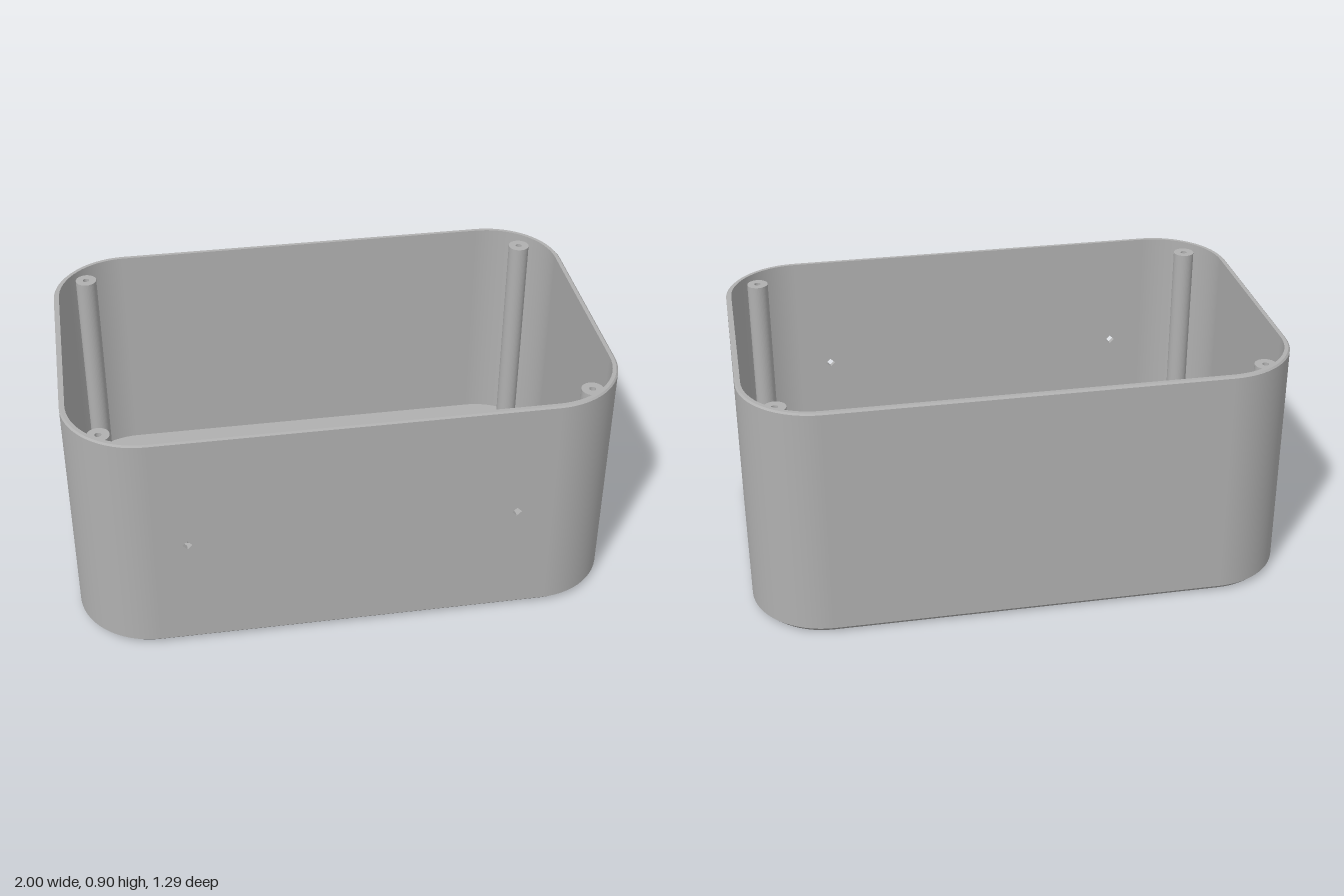
import * as THREE from 'three';

const HALF_X = 1, HALF_Z = 0.643, HEIGHT = 0.9, RADIUS = 0.28;
const WALL = 0.02, FLOOR = 0.03, CHAMFER = 0.02, LIP = 0.006;
const CX = HALF_X - RADIUS, CZ = HALF_Z - RADIUS;

// Plan outline as corner centre + direction, starting and ending beside the front panel
function outline() {
  const steps = 16, pts = [];
  [[-CX, CZ, 1], [-CX, -CZ, 2], [CX, -CZ, 3], [CX, CZ, 4]].forEach(([cx, cz, q]) => {
    for (let i = 0; i <= steps; i++) {
      const a = (q + i / steps) * Math.PI / 2;
      pts.push({ cx, cz, c: Math.cos(a), s: Math.sin(a) });
    }
  });
  return pts;
}

// Strip between two [inset, y] profile points, swept round the outline
function band([in0, y0], [in1, y1], closed = true) {
  const path = outline();
  if (closed) path.push(path[0]);
  const len = Math.hypot(in1 - in0, y1 - y0);
  const nh = (y1 - y0) / len, nv = (in1 - in0) / len;
  const pos = [], nor = [], idx = [];
  path.forEach(({ cx, cz, c, s }, j) => {
    for (const [inset, y] of [[in0, y0], [in1, y1]]) {
      const r = RADIUS - inset;
      pos.push(cx + r * c, y, cz + r * s);
      nor.push(c * nh, nv, s * nh);
    }
    if (j) {
      const k = 2 * j;
      idx.push(k - 2, k - 1, k, k - 1, k + 1, k);
    }
  });
  const g = new THREE.BufferGeometry();
  g.setAttribute('position', new THREE.Float32BufferAttribute(pos, 3));
  g.setAttribute('normal', new THREE.Float32BufferAttribute(nor, 3));
  g.setIndex(idx);
  return g;
}

function circleHole(x, y, r, sides) {
  const pts = [];
  for (let i = 0; i < sides; i++) {
    const a = -i / sides * Math.PI * 2;
    pts.push(new THREE.Vector2(x + r * Math.cos(a), y + r * Math.sin(a)));
  }
  return new THREE.Path(pts);
}

// Extruded disc with a hole, standing on y = 0
function tube(outer, inner, height, sides) {
  const shape = new THREE.Shape();
  shape.absarc(0, 0, outer, 0, Math.PI * 2);
  shape.holes.push(circleHole(0, 0, inner, sides));
  const g = new THREE.ExtrudeGeometry(shape, { depth: height, bevelEnabled: false, curveSegments: sides });
  return g.rotateX(-Math.PI / 2);
}

export function createModel() {
  const group = new THREE.Group();
  const grey = new THREE.MeshStandardMaterial({ color: 0xb0b0b0 });
  grey.name = 'grey plastic';
  const add = (name, geometry, x = 0, y = 0, z = 0) => {
    const m = new THREE.Mesh(geometry, grey);
    m.name = name;
    m.position.set(x, y, z);
    group.add(m);
  };

  // Walls: chamfered foot, outer skin, rim and inner skin
  const top = HEIGHT - LIP;
  add('footChamfer', band([CHAMFER, 0], [0, CHAMFER]));
  add('outerWall', band([0, CHAMFER], [0, top], false));
  add('rimChamfer', band([0, top], [LIP, HEIGHT]));
  add('rimTop', band([LIP, HEIGHT], [WALL, HEIGHT]));
  add('rimInside', band([WALL, HEIGHT], [WALL, top]));
  add('innerWall', band([WALL, top], [WALL, FLOOR], false));

  // Front panel with two small diamond holes
  const front = new THREE.Shape([[-CX, CHAMFER], [CX, CHAMFER], [CX, top], [-CX, top]]
    .map(([x, y]) => new THREE.Vector2(x, y)));
  for (const x of [-0.6, 0.595]) front.holes.push(circleHole(x, 0.45, 0.018, 4));
  add('frontPanel', new THREE.ExtrudeGeometry(front, { depth: WALL, bevelEnabled: false }), 0, 0, HALF_Z - WALL);

  // Floor with a round opening and a speaker grille
  const sx = -0.467, sz = 0.008;
  const floor = new THREE.Shape(outline().map(({ cx, cz, c, s }) =>
    new THREE.Vector2(cx + (RADIUS - WALL) * c, cz + (RADIUS - WALL) * s)));
  floor.holes.push(circleHole(0.52, 0.008, 0.21, 64));
  floor.holes.push(circleHole(sx, sz, 0.015, 12));
  [6, 12, 19, 25, 31].forEach((count, k) => {
    const r = 0.0488 * (k + 1);
    for (let i = 0; i < count; i++) {
      const a = i / count * Math.PI * 2;
      floor.holes.push(circleHole(sx + r * Math.cos(a), sz + r * Math.sin(a), 0.015, 12));
    }
  });
  const floorGeo = new THREE.ExtrudeGeometry(floor, { depth: FLOOR, bevelEnabled: false });
  add('floor', floorGeo.rotateX(Math.PI / 2), 0, FLOOR, 0);

  // Speaker seat: low ring and four short screw posts
  add('speakerRing', tube(0.347, 0.33, 0.03, 64), sx, FLOOR, sz);
  const corners = [[-1, -1], [1, -1], [1, 1], [-1, 1]];
  for (const [i, j] of corners) {
    add('speakerPost', tube(0.033, 0.012, 0.05, 24), sx + i * 0.277, FLOOR, sz + j * 0.277);
    // Tall lid posts in the box corners
    add('lidPost', tube(0.04, 0.012, 0.875 - FLOOR, 24), i * 0.873, FLOOR, j * 0.519);
  }
  return group;
}
